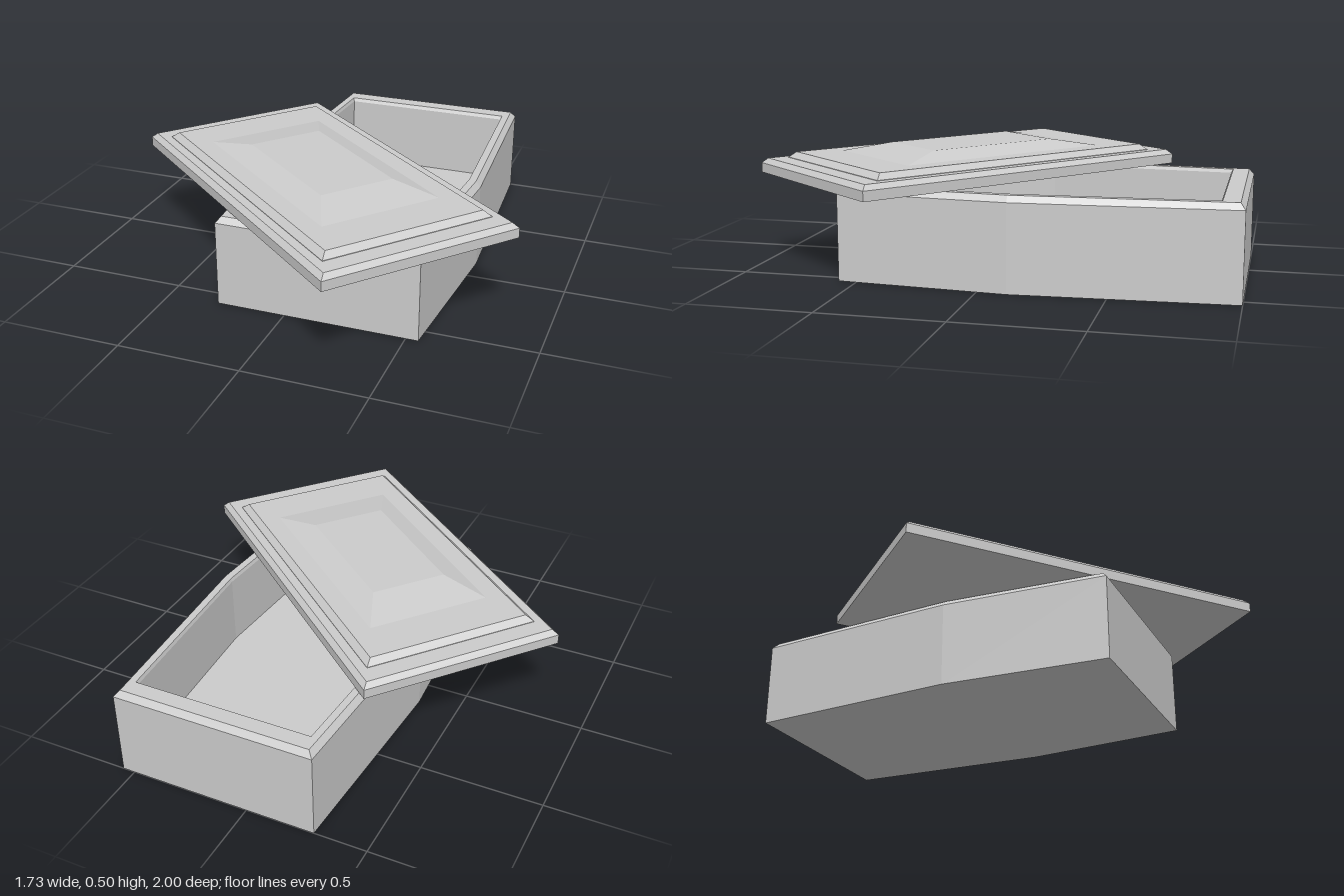
import * as THREE from 'three';

// Outlines run counter-clockwise seen from above, as [x, z] pairs.
const rect = (length, width) => {
  const x = length / 2, z = width / 2;
  return [[-x, z], [x, z], [x, -z], [-x, -z]];
};

// Six-sided coffin outline, widest slightly in front of the middle.
const coffin = (scale, inset = 0) => {
  const end = 0.418 * scale - inset, mid = 0.467 * scale - inset;
  const z = 0.7875 * scale - inset, midZ = 0.0925 * scale;
  return [[-end, z], [end, z], [mid, midZ], [end, -z], [-end, -z], [-mid, midZ]];
};

// Joins a stack of [outline, y] rings with flat faces and caps both ends.
function loft(name, rings) {
  const pos = [];
  const pts = rings.map(([outline, y]) => outline.map(([x, z]) => [x, y, z]));
  const tri = (a, b, c) => pos.push(...a, ...b, ...c);
  const n = pts[0].length;
  for (let r = 0; r < pts.length - 1; r++) {
    const lo = pts[r], hi = pts[r + 1];
    for (let i = 0; i < n; i++) {
      const j = (i + 1) % n;
      tri(lo[i], lo[j], hi[j]);
      tri(lo[i], hi[j], hi[i]);
    }
  }
  const first = pts[0], last = pts[pts.length - 1];
  for (let i = 1; i < n - 1; i++) {
    tri(first[0], first[i + 1], first[i]);
    tri(last[0], last[i], last[i + 1]);
  }
  const geometry = new THREE.BufferGeometry();
  geometry.setAttribute('position', new THREE.Float32BufferAttribute(pos, 3));
  geometry.computeVertexNormals();
  const material = new THREE.MeshStandardMaterial({ color: 0xcccccc, flatShading: true });
  const mesh = new THREE.Mesh(geometry, material);
  mesh.name = name;
  return mesh;
}

export function createModel() {
  const model = new THREE.Group();
  model.name = 'openSarcophagus';

  // Hollow box: outer wall, bevelled rim, inner wall and floor
  const box = loft('coffinBox', [
    [coffin(1), 0],
    [coffin(1), 0.355],
    [coffin(1, 0.02), 0.38],
    [coffin(0.89), 0.38],
    [coffin(0.88), 0.365],
    [coffin(0.88), 0.07],
  ]);
  box.position.set(0.133, 0, -0.2125);
  model.add(box);

  // Lid pushed aside and turned: slab, upper step and raised panel
  const lid = new THREE.Group();
  lid.name = 'lid';
  lid.add(loft('lidSlab', [
    [rect(1.545, 0.845), 0.385],
    [rect(1.545, 0.845), 0.425],
    [rect(1.505, 0.805), 0.445],
  ]));
  lid.add(loft('lidStep', [
    [rect(1.355, 0.73), 0.444],
    [rect(1.355, 0.73), 0.447],
    [rect(1.305, 0.68), 0.47],
  ]));
  lid.add(loft('lidPanel', [
    [rect(0.968, 0.522), 0.469],
    [rect(0.595, 0.32), 0.502],
  ]));
  lid.position.set(0, 0, 0.175);
  lid.rotation.y = THREE.MathUtils.degToRad(-40);
  model.add(lid);

  return model;
}
